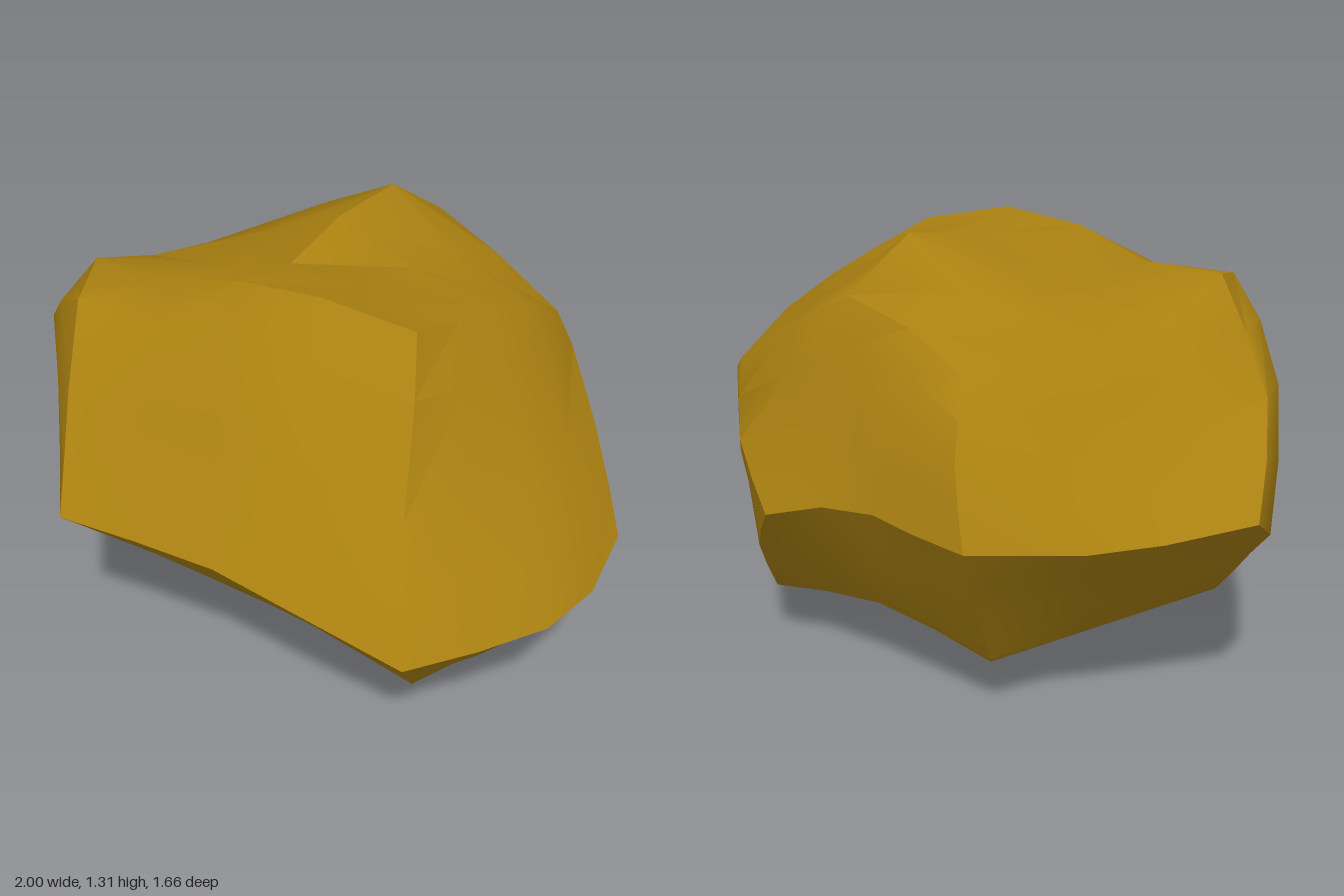
import * as THREE from 'three';
import { mergeGeometries, toCreasedNormals } from 'three/addons/utils/BufferGeometryUtils.js';

// Main corners of the boulder: twelve four-sided faces meet at these.
const corners = {
  A: [-0.03, 0.7, 0.83], B: [-0.45, 0.185, 0.43], C: [0.53, 0, 0.01], D: [0.89, 0.55, 0.39],
  F: [0.86, 0.55, -0.45], G: [-1, 0.69, 0.09], H: [-0.45, 1.17, 0.4], I: [0.45, 1.2, -0.02],
  K: [0.36, 0.15, -0.63], M: [-0.45, 0.18, -0.37], N: [-0.03, 0.58, -0.83], P: [0.3, 0.92, -0.73],
  Q: [-0.45, 1.03, -0.45], R: [-0.67, 0.65, -0.59],
};

// Points along the edges that are not straight.
const bends = {
  AH: [[-0.12, 0.81, 0.75], [-0.22, 0.95, 0.66], [-0.35, 1.13, 0.53]],
  AD: [[0.18, 0.7, 0.73], [0.4, 0.695, 0.63], [0.65, 0.635, 0.52]],
  DI: [[0.8, 0.7, 0.31], [0.7, 0.84, 0.23], [0.56, 1.08, 0.08]],
  HI: [[-0.22, 1.17, 0.3], [0, 1.24, 0.23], [0.23, 1.26, 0.13]],
  BC: [[-0.2, 0.165, 0.34], [0.04, 0.145, 0.25], [0.27, 0.125, 0.15]],
  CD: [[0.73, 0.27, 0.2]],
  DF: [[0.95, 0.54, 0.18], [1, 0.54, -0.03], [0.97, 0.54, -0.23]],
  FK: [[0.62, 0.35, -0.56]],
  FP: [[0.76, 0.63, -0.51], [0.6, 0.74, -0.6], [0.4, 0.86, -0.7]],
  CK: [[0.49, 0.06, -0.14], [0.45, 0.1, -0.3], [0.41, 0.11, -0.46]],
  MK: [[-0.09, 0.25, -0.52]],
  NK: [[0.16, 0.4, -0.77]],
  NP: [[0.07, 0.65, -0.82], [0.17, 0.73, -0.805], [0.24, 0.83, -0.77]],
  NR: [[-0.19, 0.64, -0.74], [-0.35, 0.66, -0.67], [-0.5, 0.655, -0.64]],
  RQ: [[-0.57, 0.85, -0.55]],
  QP: [[-0.26, 1.12, -0.5], [-0.06, 1.17, -0.57], [0.12, 1.06, -0.65]],
  IP: [[0.42, 1.15, -0.2], [0.38, 1.1, -0.38], [0.34, 1.03, -0.56]],
  HQ: [[-0.48, 1.09, 0.19], [-0.5, 1.05, -0.02], [-0.48, 1.03, -0.24]],
  HG: [[-0.73, 0.9, 0.34]],
  GB: [[-0.86, 0.565, 0.26], [-0.72, 0.44, 0.32], [-0.59, 0.315, 0.375]],
  GR: [[-0.95, 0.67, -0.02], [-0.9, 0.65, -0.13], [-0.83, 0.645, -0.33]],
};

const STEPS = 4;
const vec = (p) => new THREE.Vector3(...p);

// Sampled edge between two corners, the same whichever way it is asked for.
function edge(a, b) {
  if (!bends[a + b] && (bends[b + a] || a > b)) return edge(b, a).reverse();
  const points = [corners[a], ...(bends[a + b] || []), corners[b]].map(vec);
  return new THREE.CatmullRomCurve3(points, false, 'catmullrom').getPoints(STEPS);
}

// Patch blended from its four edges, swollen or dented in the middle by bulge(u, v).
function facePatch([a, b, c, d], bulge = () => [0, 0, 0]) {
  const low = edge(a, b), high = edge(d, c), left = edge(a, d), right = edge(b, c);
  const [pa, pb, pc, pd] = [a, b, c, d].map((k) => vec(corners[k]));
  const geometry = new THREE.PlaneGeometry(1, 1, STEPS, STEPS);
  const position = geometry.attributes.position;
  for (let i = 0; i < position.count; i++) {
    const iu = i % (STEPS + 1), iv = STEPS - Math.floor(i / (STEPS + 1));
    const u = iu / STEPS, v = iv / STEPS;
    const p = new THREE.Vector3()
      .addScaledVector(low[iu], 1 - v).addScaledVector(high[iu], v)
      .addScaledVector(left[iv], 1 - u).addScaledVector(right[iv], u)
      .addScaledVector(pa, -(1 - u) * (1 - v)).addScaledVector(pb, -u * (1 - v))
      .addScaledVector(pc, -u * v).addScaledVector(pd, -(1 - u) * v)
      .addScaledVector(vec(bulge(u, v)), 16 * u * v * (1 - u) * (1 - v));
    position.setXYZ(i, p.x, p.y, p.z);
  }
  return geometry;
}

export function createModel() {
  const model = new THREE.Group();
  model.name = 'boulder';

  const patches = [
    facePatch('ABCD'), // front, lower
    facePatch('ADIH'), // front, upper
    facePatch('AHGB', (u) => [-0.12 * u, 0.08 * u, -0.07 * u]), // front corner at -x
    facePatch('BMKC'), // underside
    facePatch('DCKF', () => [0.04, 0, 0]), // +x side, lower
    facePatch('DFPI', () => [0.015, 0.01, 0]), // +x side, upper
    facePatch('FKNP', () => [-0.01, 0, 0.01]), // back corner at +x
    facePatch('NRQP', () => [0, 0, 0.02]), // back, upper
    facePatch('NKMR'), // back, lower
    facePatch('GRMB'), // -x side, lower
    facePatch('GHQR'), // -x side, upper
    // top, with a peak towards the rear that falls away to both sides
    facePatch('HIPQ', (u, v) => [0, 1.32 * Math.min(u - 0.05, 0.25, 0.75 - u) * (v - 0.25), 0]),
  ];

  const rock = new THREE.Mesh(
    toCreasedNormals(mergeGeometries(patches), 0.7),
    new THREE.MeshStandardMaterial({ color: 0xa87f10 })
  );
  rock.name = 'rock';
  model.add(rock);
  return model;
}
